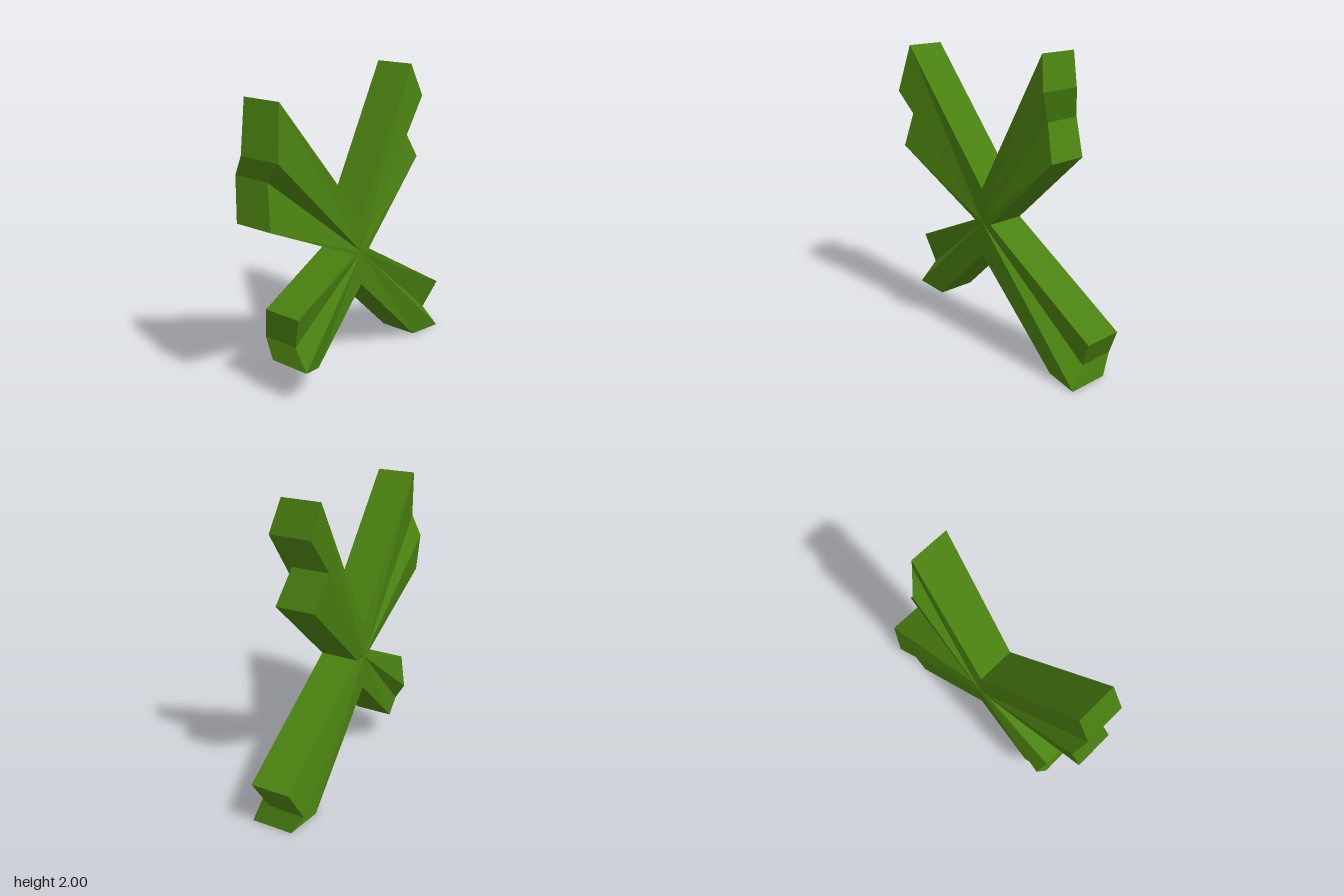
import * as THREE from 'three';

// Outline corners of each arm, counter-clockwise: [x, y, front z, back z]
const E = [0.13, -0.135];   // flat outer corner
const N = [0.07, -0.18];    // corner pushed backward
const F = [0.18, -0.10];    // corner pushed forward

const HUB = { x: -0.06, y: 0.853, front: 0.13, back: -0.145 };

const ARMS = {
  upperRightArm: [[0.02, 0.853, ...E], [0.562, 1.365, ...E], [0.465, 1.593, ...N],
    [0.532, 1.79, ...F], [0.47, 2.0, ...E], [-0.06, 1.08, ...E]],
  upperLeftArm: [[-0.06, 1.08, ...E], [-0.795, 1.937, ...E], [-0.873, 1.62, ...F],
    [-0.845, 1.49, ...N], [-0.895, 1.22, ...E], [-0.13, 0.853, ...E]],
  lowerLeftArm: [[-0.13, 0.853, ...E], [-0.685, 0.6, ...E], [-0.65, 0.385, ...N],
    [-0.677, 0.255, ...F], [-0.505, 0.2, ...E], [-0.06, 0.625, ...E]],
  lowerRightArm: [[-0.06, 0.625, ...E], [0.58, 0.005, ...E], [0.822, 0.0, ...F],
    [0.797, 0.13, ...N], [0.89, 0.32, ...E], [0.02, 0.853, ...E]],
};

// Fans the front and back out from the hub and walls in the rim
function armGeometry(points) {
  const pos = [];
  const tri = (...corners) => corners.forEach((c) => pos.push(...c));
  const hubFront = [HUB.x, HUB.y, HUB.front];
  const hubBack = [HUB.x, HUB.y, HUB.back];
  for (let i = 0; i < points.length - 1; i++) {
    const [ax, ay, af, ab] = points[i];
    const [bx, by, bf, bb] = points[i + 1];
    const aF = [ax, ay, af], aB = [ax, ay, ab];
    const bF = [bx, by, bf], bB = [bx, by, bb];
    tri(hubFront, aF, bF);
    tri(hubBack, bB, aB);
    tri(aF, aB, bB);
    tri(aF, bB, bF);
  }
  const geo = new THREE.BufferGeometry();
  geo.setAttribute('position', new THREE.Float32BufferAttribute(pos, 3));
  geo.computeVertexNormals();
  return geo;
}

export function createModel() {
  const group = new THREE.Group();
  group.name = 'leafCross';
  const green = new THREE.MeshStandardMaterial({ color: 0x4a8010, flatShading: true });
  green.name = 'leafGreen';
  for (const [name, points] of Object.entries(ARMS)) {
    const mesh = new THREE.Mesh(armGeometry(points), green);
    mesh.name = name;
    group.add(mesh);
  }
  return group;
}
